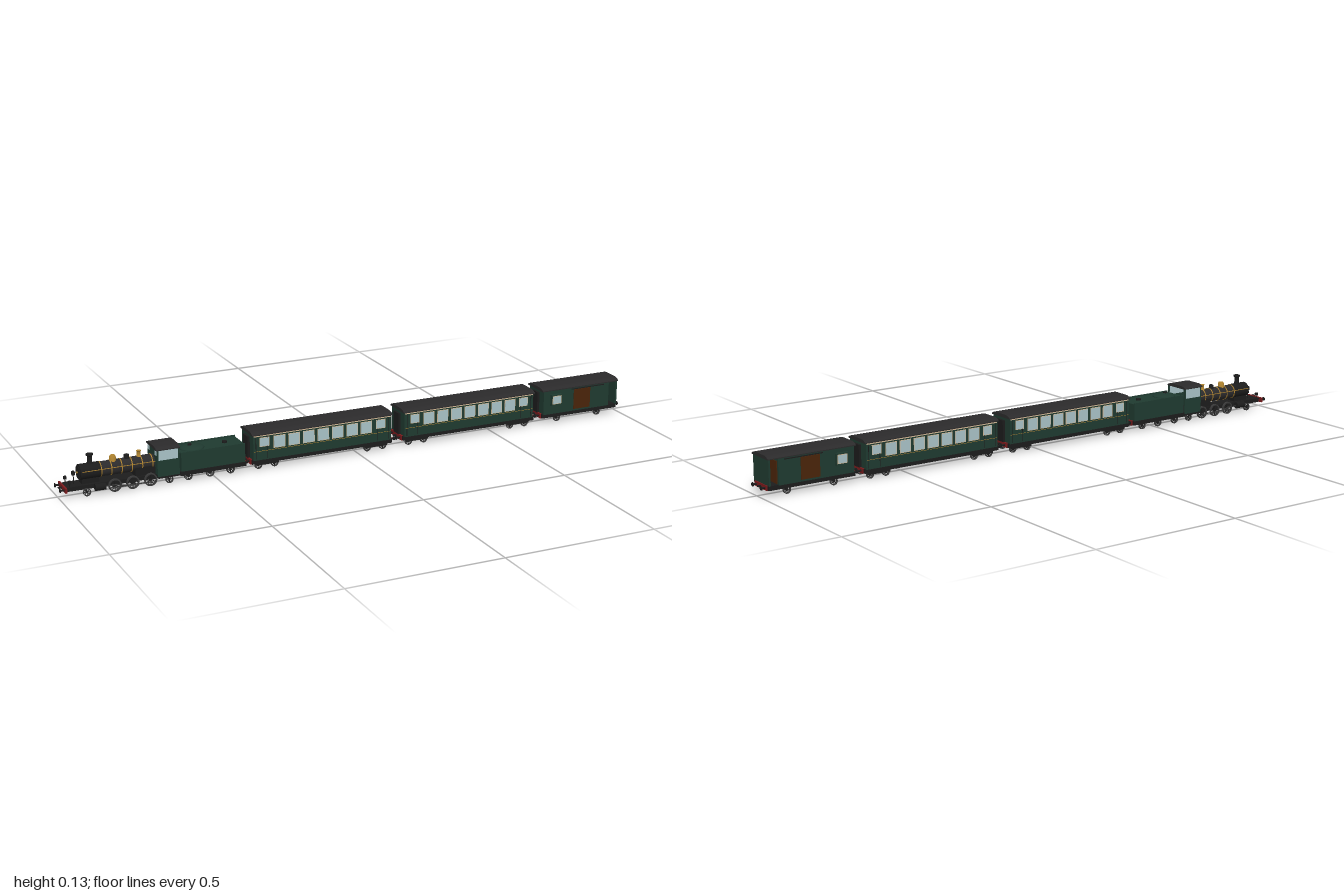
import * as THREE from 'three';
import { toCreasedNormals } from 'three/addons/utils/BufferGeometryUtils.js';

const mat = (name, color) => Object.assign(new THREE.MeshStandardMaterial({ color }), { name });
const green = mat('darkGreen', 0x1f3a30);
const black = mat('black', 0x1c1c1c);
const roofGrey = mat('roofCharcoal', 0x2b2a2b);
const iron = mat('wheelSteel', 0x3a3a3a);
const red = mat('bufferRed', 0x7a1a1c);
const gold = mat('brass', 0xb08430);
const glass = mat('paleGlass', 0xa9c3c8);
const brown = mat('woodBrown', 0x4a2409);
const cream = mat('cream', 0xd2b896);

function add(parent, name, geo, material) {
  const m = new THREE.Mesh(geo, material);
  m.name = name;
  parent.add(m);
  return m;
}

// Box given by its limits on each axis
function box(p, name, m, x0, x1, y0, y1, z0, z1) {
  const b = add(p, name, new THREE.BoxGeometry(x1 - x0, y1 - y0, z1 - z0), m);
  b.position.set((x0 + x1) / 2, (y0 + y1) / 2, (z0 + z1) / 2);
  return b;
}

// Cylinder along the x, y or z axis
function rod(p, name, m, axis, r0, r1, len, x, y, z, seg = 20) {
  const g = new THREE.CylinderGeometry(r1, r0, len, seg);
  if (axis === 'x') g.rotateZ(-Math.PI / 2);
  if (axis === 'z') g.rotateX(Math.PI / 2);
  const c = add(p, name, g, m);
  c.position.set(x, y, z);
  return c;
}

// Upright turned part from [radius, height] pairs
function turned(p, name, m, pts, x, y) {
  const g = new THREE.LatheGeometry(pts.map(([r, h]) => new THREE.Vector2(r, h)), 20);
  add(p, name, toCreasedNormals(g, 0.7), m).position.set(x, y, 0);
}

// Spoked wheels on one axle
function wheelset(p, x, r, spokes = 8) {
  const g = new THREE.Group();
  g.name = 'wheelset';
  g.position.set(x, r, 0);
  p.add(g);
  const t = r * 0.2, w = 0.0035;
  const ring = [[r - t, -w], [r, -w], [r, w], [r - t, w], [r - t, -w]];
  const rim = toCreasedNormals(new THREE.LatheGeometry(ring.map(a => new THREE.Vector2(...a)), 28), 0.6);
  rim.rotateX(Math.PI / 2);
  for (const s of [-1, 1]) {
    add(g, 'wheelRim', rim, iron).position.z = s * 0.03;
    rod(g, 'wheelHub', black, 'z', r * 0.22, r * 0.22, 0.008, 0, 0, s * 0.03, 12);
    for (let i = 0; i < spokes / 2; i++) {
      const sp = add(g, 'wheelSpoke', new THREE.BoxGeometry(2 * (r - t), r * 0.09, 0.003), black);
      sp.position.z = s * 0.03;
      sp.rotation.z = (i * 2 * Math.PI) / spokes;
    }
  }
  rod(g, 'axle', black, 'z', 0.003, 0.003, 0.06, 0, 0, 0, 8);
}

// Red beam with two buffers and a coupling hook; dir points outward
function bufferBeam(p, x, dir, len = 0.018) {
  box(p, 'bufferBeam', red, x - 0.003, x + 0.003, 0.021, 0.037, -0.038, 0.038);
  for (const z of [-0.027, 0.027]) {
    rod(p, 'bufferShank', black, 'x', 0.003, 0.003, len - 0.003, x + dir * (len - 0.003) / 2, 0.029, z, 10);
    rod(p, 'bufferHead', black, 'x', 0.0065, 0.0065, 0.003, x + dir * (len - 0.0015), 0.029, z);
  }
  box(p, 'couplingHook', black, x + Math.min(0, dir * len * 0.8), x + Math.max(0, dir * len * 0.8), 0.027, 0.031, -0.004, 0.004);
}

// Shallow arched roof running along x
function archRoof(p, x0, x1, hw, yEdge, yTop) {
  const s = new THREE.Shape();
  s.moveTo(-hw, yEdge);
  s.lineTo(hw, yEdge);
  s.lineTo(hw, yEdge + 0.003);
  s.quadraticCurveTo(hw * 0.8, yTop, hw * 0.5, yTop);
  s.lineTo(-hw * 0.5, yTop);
  s.quadraticCurveTo(-hw * 0.8, yTop, -hw, yEdge + 0.003);
  const g = new THREE.ExtrudeGeometry(s, { depth: x1 - x0, bevelEnabled: false, curveSegments: 6 });
  g.rotateY(Math.PI / 2);
  add(p, 'roof', toCreasedNormals(g, 0.6), roofGrey).position.x = x0;
}

// Thin framed window on both sides
function sideWindow(p, x, w, y0, y1, z) {
  for (const s of [-1, 1]) {
    const zc = s * z;
    box(p, 'windowFrame', cream, x - w / 2 - 0.002, x + w / 2 + 0.002, y0 - 0.002, y1 + 0.002, zc - 0.0006, zc + 0.0006);
    box(p, 'windowGlass', glass, x - w / 2, x + w / 2, y0, y1, zc - 0.0012, zc + 0.0012);
  }
}

function underframe(p, x0, x1) {
  box(p, 'underframe', black, x0, x1, 0.022, 0.036, -0.046, 0.046);
}

function coach(cx) {
  const g = new THREE.Group();
  g.name = 'passengerCoach';
  const h = 0.247;
  underframe(g, cx - h, cx + h);
  box(g, 'coachBody', green, cx - h + 0.004, cx + h - 0.004, 0.034, 0.119, -0.047, 0.047);
  for (const s of [-1, 1]) {
    box(g, 'corniceStrip', cream, cx - h + 0.006, cx + h - 0.006, 0.113, 0.117, s * 0.047 - 0.001, s * 0.047 + 0.001);
    box(g, 'waistStrip', gold, cx - h + 0.006, cx + h - 0.006, 0.0635, 0.0645, s * 0.047 - 0.001, s * 0.047 + 0.001);
    box(g, 'gangway', black, cx + s * (h - 0.001) - 0.005, cx + s * (h - 0.001) + 0.005, 0.037, 0.108, -0.018, 0.018);
    bufferBeam(g, cx + s * h, s);
    // Four-wheel bogie and end doors
    const bx = cx + s * 0.192;
    for (const d of [-0.028, 0.028]) wheelset(g, bx + d, 0.0125);
    for (const z of [-1, 1]) {
      box(g, 'bogieFrame', black, bx - 0.04, bx + 0.04, 0.014, 0.021, z * 0.037 - 0.002, z * 0.037 + 0.002);
      for (const e of [-0.02, 0.02]) box(g, 'doorEdge', black, cx + s * 0.214 + e - 0.0008, cx + s * 0.214 + e + 0.0008, 0.038, 0.112, z * 0.047 - 0.001, z * 0.047 + 0.001);
    }
    sideWindow(g, cx + s * 0.205, 0.03, 0.08, 0.107, 0.047);
  }
  for (let i = -3; i <= 3; i++) sideWindow(g, cx + i * 0.051, 0.037, 0.07, 0.107, 0.047);
  archRoof(g, cx - h, cx + h, 0.05, 0.117, 0.128);
  return g;
}

function brakeVan() {
  const g = new THREE.Group();
  g.name = 'brakeVan';
  underframe(g, 0.688, 0.983);
  box(g, 'vanBody', green, 0.692, 0.95, 0.034, 0.119, -0.047, 0.047);
  box(g, 'vanEndWall', green, 0.977, 0.983, 0.036, 0.119, -0.048, 0.048);
  box(g, 'platformDoor', brown, 0.949, 0.953, 0.038, 0.108, -0.04, 0.04);
  box(g, 'gangway', black, 0.684, 0.692, 0.037, 0.108, -0.018, 0.018);
  for (const s of [-1, 1]) {
    const z = s * 0.047;
    box(g, 'slidingDoor', brown, 0.81, 0.875, 0.04, 0.11, z - 0.0015, z + 0.0015);
    box(g, 'doorRail', black, 0.8, 0.93, 0.111, 0.114, z - 0.002, z + 0.002);
    box(g, 'lookout', green, 0.718, 0.758, 0.065, 0.104, s * 0.051 - 0.006, s * 0.051 + 0.006);
    bufferBeam(g, s > 0 ? 0.983 : 0.688, s, 0.017);
  }
  sideWindow(g, 0.738, 0.03, 0.073, 0.098, 0.057);
  archRoof(g, 0.686, 0.986, 0.05, 0.117, 0.128);
  for (const x of [0.755, 0.915]) wheelset(g, x, 0.0125);
  return g;
}

function tender() {
  const g = new THREE.Group();
  g.name = 'tender';
  underframe(g, -0.615, -0.395);
  box(g, 'tenderTank', green, -0.612, -0.398, 0.032, 0.094, -0.045, 0.045);
  for (const s of [-1, 1]) box(g, 'tankCoping', green, -0.612, -0.398, 0.094, 0.098, s * 0.043 - 0.002, s * 0.043 + 0.002);
  // Low rounded load and water filler
  const load = add(g, 'coalCover', new THREE.SphereGeometry(1, 20, 6, 0, Math.PI * 2, 0, Math.PI / 2), green);
  load.scale.set(0.04, 0.01, 0.036);
  load.position.set(-0.56, 0.094, 0);
  rod(g, 'coverHatch', black, 'y', 0.007, 0.007, 0.006, -0.567, 0.104, 0);
  rod(g, 'waterFiller', black, 'y', 0.008, 0.008, 0.006, -0.45, 0.097, 0);
  bufferBeam(g, -0.395, 1, 0.01);
  for (const x of [-0.585, -0.512, -0.443]) wheelset(g, x, 0.0135);
  return g;
}

function locomotive() {
  const g = new THREE.Group();
  g.name = 'locomotive';
  // Frames and running boards
  box(g, 'mainFrame', black, -0.98, -0.62, 0.02, 0.034, -0.023, 0.023);
  box(g, 'runningBoard', black, -0.98, -0.62, 0.031, 0.035, -0.027, 0.027);
  box(g, 'firebox', black, -0.755, -0.685, 0.034, 0.068, -0.022, 0.022);
  box(g, 'boilerSaddle', black, -0.925, -0.87, 0.034, 0.055, -0.016, 0.016);
  bufferBeam(g, -0.982, -1);

  // Boiler, smokebox and brass bands
  rod(g, 'boiler', roofGrey, 'x', 0.0235, 0.0235, 0.18, -0.775, 0.07, 0, 28);
  rod(g, 'smokebox', black, 'x', 0.025, 0.025, 0.065, -0.897, 0.07, 0, 28);
  rod(g, 'smokeboxDoor', black, 'x', 0.018, 0.021, 0.004, -0.931, 0.07, 0, 24).scale.x = -1;
  rod(g, 'doorHandle', gold, 'x', 0.003, 0.003, 0.004, -0.935, 0.07, 0, 10);
  for (const x of [-0.863, -0.83, -0.797, -0.764, -0.731, -0.698]) rod(g, 'boilerBand', gold, 'x', 0.0245, 0.0245, 0.003, x, 0.07, 0, 28);
  for (const s of [-1, 1]) rod(g, 'handrail', gold, 'x', 0.0012, 0.0012, 0.235, -0.808, 0.077, s * 0.0265, 6);

  // Chimney, domes and whistle
  turned(g, 'chimney', black, [[0.011, 0], [0.008, 0.008], [0.0075, 0.026], [0.011, 0.029], [0.011, 0.034], [0, 0.034]], -0.893, 0.091);
  turned(g, 'steamDome', gold, [[0.012, 0], [0.0105, 0.005], [0.0105, 0.014], [0.008, 0.019], [0, 0.021]], -0.82, 0.09);
  turned(g, 'sandDome', black, [[0.01, 0], [0.008, 0.005], [0.008, 0.014], [0, 0.018]], -0.775, 0.09);
  turned(g, 'safetyValve', gold, [[0.01, 0], [0.006, 0.006], [0.006, 0.018], [0.008, 0.021], [0, 0.022]], -0.735, 0.09);

  // Front lamps
  for (const z of [-0.024, 0.024]) {
    rod(g, 'lampPost', black, 'y', 0.0012, 0.0012, 0.012, -0.967, 0.041, z, 6);
    box(g, 'lamp', black, -0.971, -0.963, 0.045, 0.055, z - 0.004, z + 0.004);
  }
  box(g, 'topLamp', black, -0.952, -0.943, 0.064, 0.076, -0.005, 0.005);
  rod(g, 'topLampPost', black, 'y', 0.0015, 0.0015, 0.032, -0.947, 0.05, 0, 6);

  // Cab with open rear
  box(g, 'cabFloor', black, -0.688, -0.615, 0.024, 0.036, -0.044, 0.044);
  box(g, 'cabFront', green, -0.69, -0.686, 0.036, 0.118, -0.044, 0.044);
  for (const s of [-1, 1]) {
    const z = s * 0.043;
    box(g, 'cabSide', green, -0.69, -0.618, 0.03, 0.083, z - 0.002, z + 0.002);
    for (const x of [-0.69, -0.622]) box(g, 'cabPost', green, x, x + 0.004, 0.083, 0.119, z - 0.002, z + 0.002);
    box(g, 'cabSideGlass', glass, -0.686, -0.622, 0.083, 0.117, z - 0.001, z + 0.001);
    box(g, 'cabFrontGlass', glass, -0.6915, -0.6845, 0.098, 0.112, s * 0.032 - 0.007, s * 0.032 + 0.007);
  }
  archRoof(g, -0.694, -0.616, 0.047, 0.116, 0.126);

  // Wheels, cylinders and side rods
  wheelset(g, -0.915, 0.0125);
  for (const x of [-0.825, -0.767, -0.709]) wheelset(g, x, 0.021, 12);
  wheelset(g, -0.648, 0.0125);
  for (const s of [-1, 1]) {
    rod(g, 'cylinder', black, 'x', 0.011, 0.011, 0.034, -0.875, 0.027, s * 0.039);
    rod(g, 'pistonRod', iron, 'x', 0.0018, 0.0018, 0.04, -0.84, 0.025, s * 0.038, 8);
    box(g, 'couplingRod', iron, -0.828, -0.706, 0.014, 0.0175, s * 0.036 - 0.001, s * 0.036 + 0.001);
    const link = box(g, 'connectingRod', iron, -0.825, -0.765, 0.0185, 0.0215, s * 0.039 - 0.001, s * 0.039 + 0.001);
    link.rotation.z = -0.15;
    for (const x of [-0.825, -0.767, -0.709]) rod(g, 'crankPin', iron, 'z', 0.003, 0.003, 0.008, x, 0.0158, s * 0.036, 10);
  }
  return g;
}

export function createModel() {
  const train = new THREE.Group();
  train.name = 'steamTrain';
  train.add(locomotive(), tender(), coach(-0.128), coach(0.407), brakeVan());
  return train;
}
